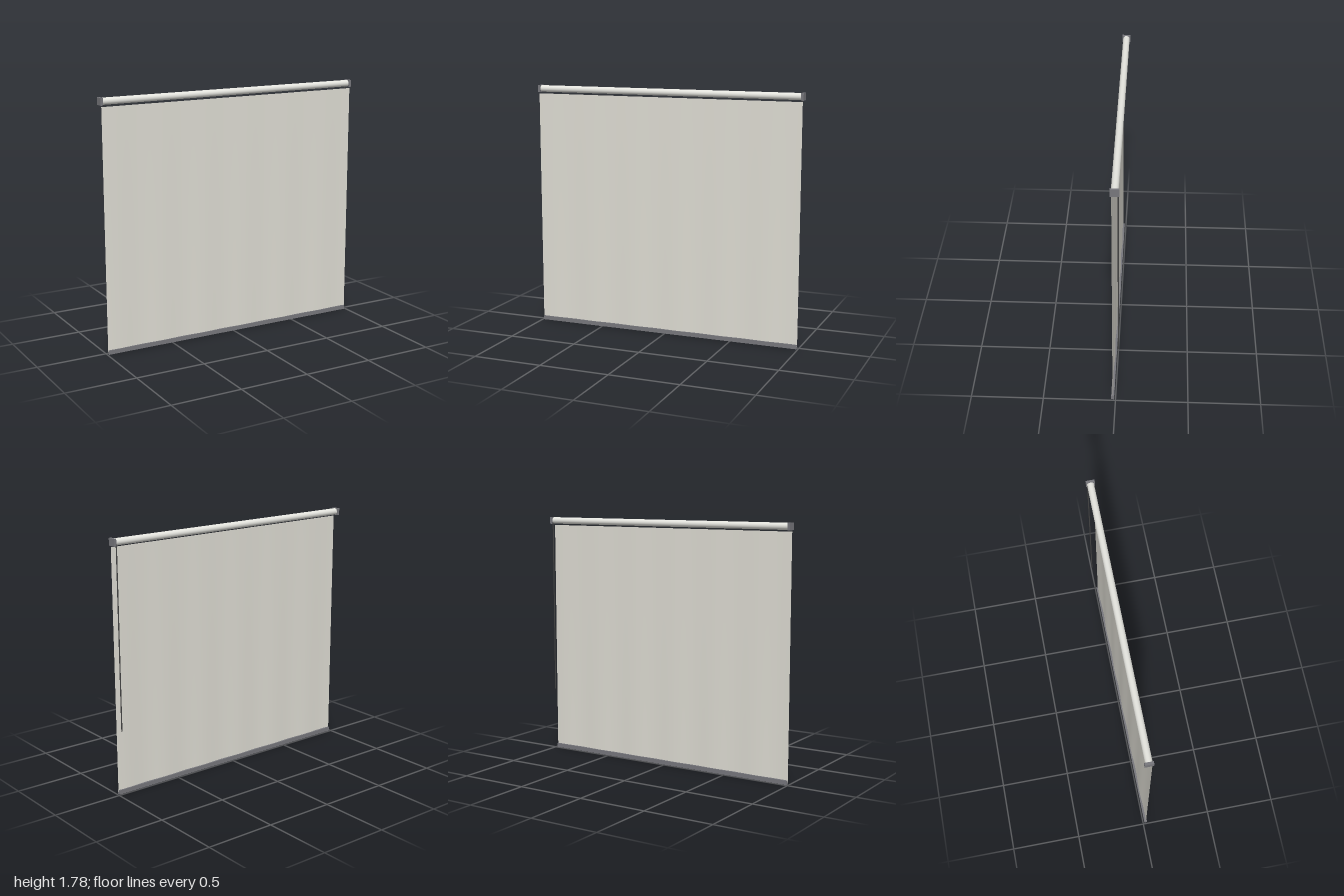
import * as THREE from 'three';

const mat = (color, side = THREE.FrontSide) => new THREE.MeshStandardMaterial({ color, side });

export function createModel() {
  const group = new THREE.Group();
  const fabricMat = mat(0xdedcd3, THREE.DoubleSide);
  const rollerMat = mat(0xe4e4de);
  const metalMat = mat(0x77777c);
  const cordMat = mat(0x444444);

  const add = (name, geometry, material, x, y, z) => {
    const mesh = new THREE.Mesh(geometry, material);
    mesh.name = name;
    mesh.position.set(x, y, z);
    group.add(mesh);
    return mesh;
  };

  // Roller tube along x
  add('rollerTube', new THREE.CylinderGeometry(0.024, 0.024, 1.97, 32).rotateZ(Math.PI / 2),
    rollerMat, 0, 1.752, 0);

  // End brackets
  for (const [name, side] of [['leftBracket', 1], ['rightBracket', -1]]) {
    add(name, new THREE.BoxGeometry(0.018, 0.05, 0.06), metalMat, side * 0.991, 1.752, 0);
  }

  // Hanging fabric: gentle vertical ripples that grow toward the bottom
  const top = 1.717, bottom = 0.015;
  const fabric = new THREE.PlaneGeometry(1.985, top - bottom, 96, 16);
  const p = fabric.attributes.position;
  for (let i = 0; i < p.count; i++) {
    const fall = 0.5 - p.getY(i) / (top - bottom);
    p.setZ(i, (0.0008 + 0.002 * fall) * Math.sin((p.getX(i) + 0.9925) * Math.PI * 6));
  }
  fabric.computeVertexNormals();
  add('fabric', fabric, fabricMat, 0, (top + bottom) / 2, 0.021);

  // Weighted bottom rail
  add('bottomRail', new THREE.BoxGeometry(1.98, 0.03, 0.021), metalMat, 0, 0.015, 0.0195);

  // Pull cord behind the fabric
  add('pullCord', new THREE.CylinderGeometry(0.004, 0.004, 1.272, 12), cordMat, 0.977, 1.102, -0.021);

  return group;
}
